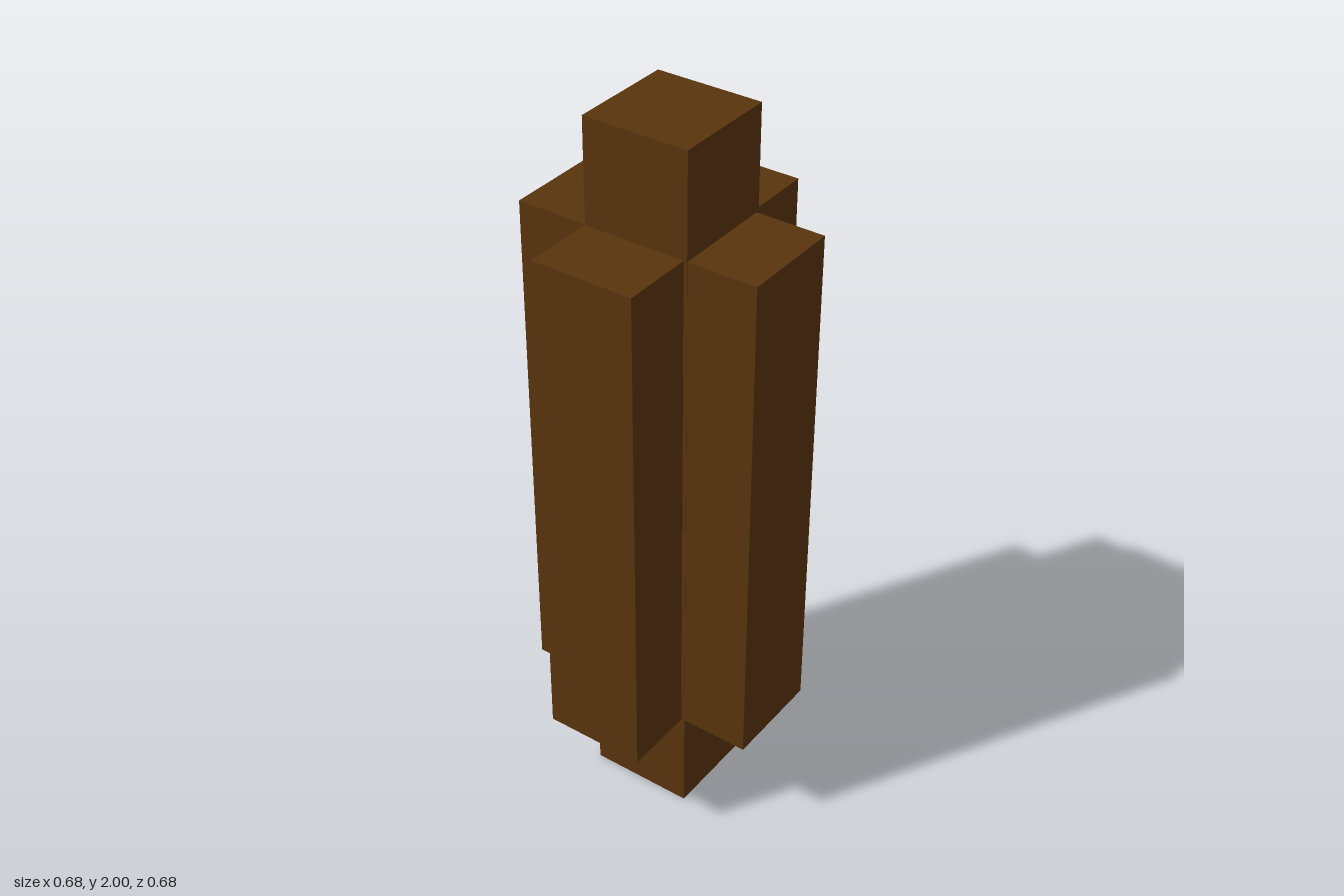
import * as THREE from 'three';

export function createModel() {
  const group = new THREE.Group();
  const wood = new THREE.MeshStandardMaterial({ color: 0x59340e });
  wood.name = 'dark brown wood';

  // Box given by its minimum and maximum corners
  function block(name, min, max) {
    const size = max.map((v, i) => v - min[i]);
    const mesh = new THREE.Mesh(new THREE.BoxGeometry(...size), wood);
    mesh.position.set(...min.map((v, i) => (v + max[i]) / 2));
    mesh.name = name;
    group.add(mesh);
  }

  // Tall central post, slightly wider to the left and the back
  block('corePost', [-0.141, 0, -0.151], [0.15, 2, 0.14]);

  // Two crossing slabs form the four shorter side blocks
  const bottom = 0.297, top = 1.72;
  block('sideToSideSlab', [-0.339, bottom, -0.142], [0.339, top, 0.139]);
  block('frontToBackSlab', [-0.142, bottom, -0.339], [0.14, top, 0.339]);

  return group;
}
